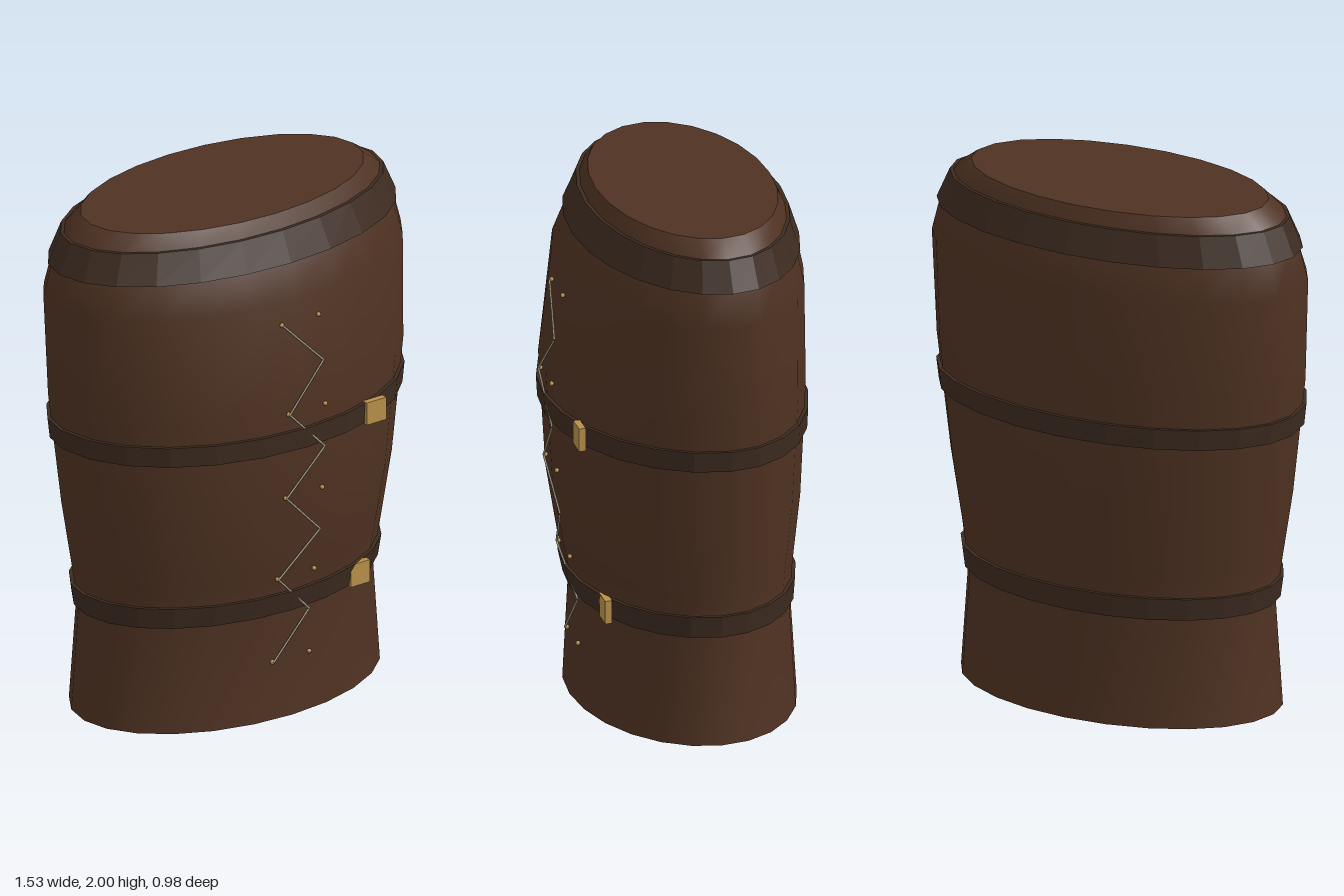
import * as THREE from 'three';

const SEGMENTS = 24;
// Body profile: height, half width, front z, back z, z of the widest line
const PROFILE = [
  [0, 0.65, 0.39, -0.45, -0.03],
  [0.4, 0.622, 0.37, -0.425, -0.03],
  [0.58, 0.647, 0.41, -0.435, -0.035],
  [0.85, 0.69, 0.455, -0.462, -0.04],
  [1.3, 0.745, 0.48, -0.477, -0.05],
  [1.7, 0.767, 0.425, -0.467, -0.053],
  [1.84, 0.733, 0.363, -0.436, -0.05],
  [1.94, 0.692, 0.318, -0.403, -0.047],
  [2, 0.61, 0.29, -0.375, -0.045],
];

// Body section at any height
function sectionAt(y) {
  let i = 0;
  while (i < PROFILE.length - 2 && y > PROFILE[i + 1][0]) i++;
  const t = (y - PROFILE[i][0]) / (PROFILE[i + 1][0] - PROFILE[i][0]);
  return PROFILE[i].map((v, k) => THREE.MathUtils.lerp(v, PROFILE[i + 1][k], t));
}

// Closed ring: a deeper ellipse in front, a shallower one behind
function ring(y, offset = 0) {
  const [, w, front, back, mid] = sectionAt(y);
  return Array.from({ length: SEGMENTS }, (_, j) => {
    const a = (j / SEGMENTS) * Math.PI * 2;
    const depth = (Math.cos(a) > 0 ? front - mid : mid - back) + offset;
    return new THREE.Vector3(Math.sin(a) * (w + offset), y, mid + Math.cos(a) * depth);
  });
}

// Height of the front surface in z
function frontZ(x, y) {
  const [, w, front, , mid] = sectionAt(y);
  return mid + (front - mid) * Math.sqrt(1 - (x / w) ** 2);
}

function loft(rings) {
  const index = [];
  for (let i = 0; i < rings.length - 1; i++) {
    for (let j = 0; j < SEGMENTS; j++) {
      const k = (j + 1) % SEGMENTS;
      const a = i * SEGMENTS + j, b = i * SEGMENTS + k;
      index.push(a, b, b + SEGMENTS, a, b + SEGMENTS, a + SEGMENTS);
    }
  }
  const g = new THREE.BufferGeometry().setFromPoints(rings.flat());
  g.setIndex(index);
  g.computeVertexNormals();
  return g;
}

function cap(points, up) {
  const index = [];
  for (let j = 1; j < SEGMENTS - 1; j++) index.push(0, up ? j : j + 1, up ? j + 1 : j);
  const g = new THREE.BufferGeometry().setFromPoints(points);
  g.setIndex(index);
  g.computeVertexNormals();
  return g;
}

export function createModel() {
  const model = new THREE.Group();
  const leather = new THREE.MeshStandardMaterial({ color: 0x4f3222 });
  const strap = new THREE.MeshStandardMaterial({ color: 0x3d2b20, flatShading: true });
  const brass = new THREE.MeshStandardMaterial({ color: 0xb8904a });
  const thread = new THREE.MeshStandardMaterial({ color: 0xa8a08c });
  const add = (name, geometry, material, parent = model) => {
    const mesh = new THREE.Mesh(geometry, material);
    mesh.name = name;
    parent.add(mesh);
    return mesh;
  };

  // Torso shell with flat ends
  add('body', loft(PROFILE.map((p) => ring(p[0]))), leather);
  add('topCap', cap(ring(2), true), leather);
  add('bottomCap', cap(ring(0), false), leather);

  // Bands: collar, chest strap and waist strap
  const bands = [['collarBand', 1.83, 1.945], ['chestStrap', 1.12, 1.2], ['waistStrap', 0.425, 0.51]];
  for (const [name, y0, y1] of bands) {
    add(name, loft([ring(y0, -0.01), ring(y0, 0.014), ring(y1, 0.014), ring(y1, -0.01)]), strap);
  }

  // Buckles on the two straps
  for (const [name, y, z] of [['chestBuckle', 1.16, 0.437], ['waistBuckle', 0.465, 0.337]]) {
    add(name, new THREE.BoxGeometry(0.09, 0.09, 0.026), brass).position.set(0.345, y, z);
  }

  // Zigzag lacing down the front
  const lacing = new THREE.Group();
  lacing.name = 'lacing';
  model.add(lacing);
  const points = Array.from({ length: 9 }, (_, i) => {
    const x = i % 2 ? 0.085 : -0.085;
    const y = 1.62 - i * 0.1735;
    return new THREE.Vector3(x, y, frontZ(x, y) + 0.012);
  });
  for (let i = 0; i < points.length - 1; i++) {
    const path = new THREE.LineCurve3(points[i], points[i + 1]);
    add('lace', new THREE.TubeGeometry(path, 1, 0.004, 6), thread, lacing);
  }

  // Eyelet studs in pairs
  for (let i = 0; i < 5; i++) {
    for (const x of [-0.085, 0.085]) {
      const y = 1.62 - i * 0.347;
      add('eyelet', new THREE.SphereGeometry(0.009, 8, 6), brass, lacing)
        .position.set(x, y, frontZ(x, y) + 0.004);
    }
  }
  return model;
}
